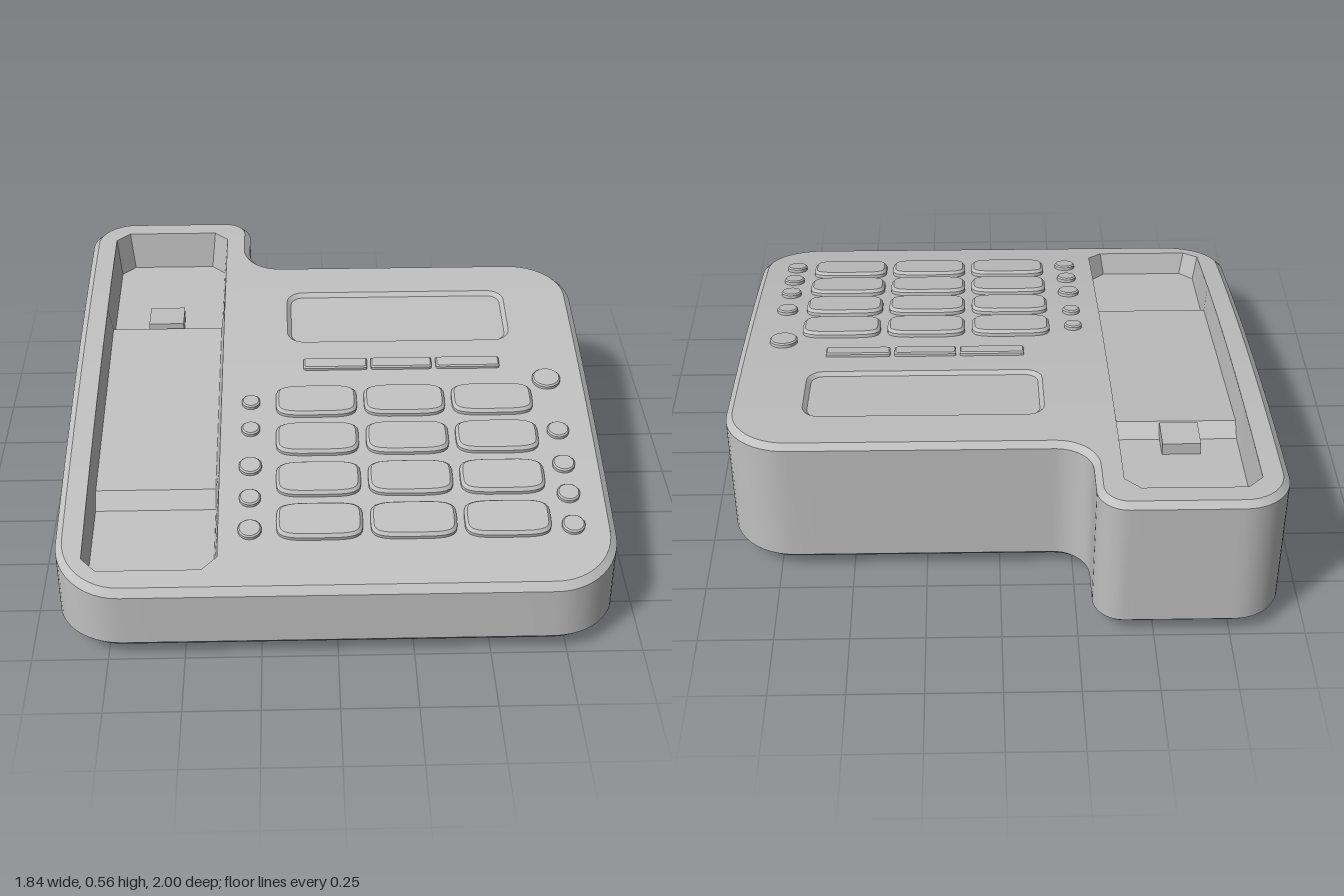
import * as THREE from 'three';
import { toCreasedNormals } from 'three/addons/utils/BufferGeometryUtils.js';

const grey = new THREE.MeshStandardMaterial({ color: 0xc0c0c0 });
grey.name = 'grey plastic';

// Height of the curved top, and its tilt, at depth z
const topY = z => 0.465 - 0.141 * z - 0.049 * z * z;
const tiltAt = z => Math.atan(0.141 + 0.098 * z);

// Piecewise height of the handset cradle floor: pocket, plateau, pocket
const FLOOR = [[-1, 0.415], [-0.44, 0.38], [-0.39, 0.42], [0.48, 0.3], [0.53, 0.25], [1, 0.2]];
function floorY(z) {
  let i = 0;
  while (i < FLOOR.length - 2 && z > FLOOR[i + 1][0]) i++;
  const [a, b] = [FLOOR[i], FLOOR[i + 1]];
  return a[1] + (b[1] - a[1]) * (z - a[0]) / (b[0] - a[0]);
}

// Closed outline of [x, z] points from corner arcs: [cx, cz, radius, from, to] in quarter turns;
// inset d shrinks convex corners and grows concave ones
function arcs(corners, d, steps = 12, straight = 10) {
  const groups = corners.map(([cx, cz, r, from, to]) => {
    const rad = to > from ? r - d : r + d;
    return Array.from({ length: steps + 1 }, (_, i) => {
      const t = (from + (to - from) * i / steps) * Math.PI / 2;
      return [cx + rad * Math.cos(t), cz + rad * Math.sin(t)];
    });
  });
  const pts = [];
  groups.forEach((g, i) => {
    pts.push(...g);
    const a = g[steps], b = groups[(i + 1) % groups.length][0];
    for (let k = 1; k < straight; k++)
      pts.push([a[0] + (b[0] - a[0]) * k / straight, a[1] + (b[1] - a[1]) * k / straight]);
  });
  return pts;
}

const bodyOutline = d => arcs([
  [0.70, 0.78, 0.22, 0, 1], [-0.70, 0.78, 0.22, 1, 2], [-0.76, -0.84, 0.16, 2, 3],
  [-0.40, -0.90, 0.10, 3, 4], [-0.18, -0.78, 0.12, 2, 1], [0.70, -0.44, 0.22, 3, 4]], d);

const screenOutline = d => arcs([
  [0.605, -0.23, 0.06, 0, 1], [-0.095, -0.23, 0.06, 1, 2],
  [-0.095, -0.415, 0.06, 2, 3], [0.605, -0.415, 0.06, 3, 4]], d, 6, 4);

// Cradle opening with cut corners
function cradleOutline(d) {
  const c = 0.05, x0 = -0.83 + d, x1 = -0.39 - d, z0 = -0.91 + d, z1 = 0.91 - d * 1.5;
  const zs = [z0 + c, -0.65, -0.44, -0.39, -0.2, 0, 0.2, 0.35, 0.48, 0.53, 0.7, z1 - c];
  return [[x1 - c, z0], ...zs.map(z => [x1, z]), [x1 - c, z1],
    [x0 + c, z1], ...zs.reverse().map(z => [x0, z]), [x0 + c, z0]];
}

function geometryFrom(pos) {
  const g = new THREE.BufferGeometry();
  g.setAttribute('position', new THREE.Float32BufferAttribute(pos, 3));
  return toCreasedNormals(g, 0.5);
}

// Skin between successive rings; each ring is [outline, height function]
function loft(rings) {
  const pos = [];
  for (let r = 0; r < rings.length - 1; r++) {
    const [[p, py], [q, qy]] = [rings[r], rings[r + 1]];
    for (let i = 0; i < p.length; i++) {
      const j = (i + 1) % p.length;
      const at = (o, y, k) => [o[k][0], y(o[k][1]), o[k][1]];
      const a0 = at(p, py, i), b0 = at(p, py, j), a1 = at(q, qy, i), b1 = at(q, qy, j);
      pos.push(...a0, ...a1, ...b1, ...a0, ...b1, ...b0);
    }
  }
  return geometryFrom(pos);
}

// Sheet filling the outlines (the inner ones are holes), in strips along z
function sheet(outlines, y, down = false) {
  const zs = outlines.flat().map(p => p[1]).sort((a, b) => a - b)
    .filter((z, i, all) => i === 0 || z - all[i - 1] > 1e-6);
  const crossings = z => {
    const xs = [];
    for (const o of outlines) o.forEach((p, i) => {
      const q = o[(i + 1) % o.length];
      if ((p[1] < z) !== (q[1] < z)) xs.push(p[0] + (q[0] - p[0]) * (z - p[1]) / (q[1] - p[1]));
    });
    return xs.sort((a, b) => a - b);
  };
  const pos = [];
  for (let i = 0; i < zs.length - 1; i++) {
    const a = zs[i], b = zs[i + 1], e = (b - a) * 1e-3;
    const s = crossings(a + e), t = crossings(b - e);
    for (let k = 0; k + 1 < Math.min(s.length, t.length); k += 2) {
      const A = [s[k], y(a), a], B = [t[k], y(b), b], C = [t[k + 1], y(b), b], D = [s[k + 1], y(a), a];
      pos.push(...(down ? [...A, ...C, ...B, ...A, ...D, ...C] : [...A, ...B, ...C, ...A, ...C, ...D]));
    }
  }
  return geometryFrom(pos);
}

// Closed shape from a superellipse; power 2 is a circle, higher is squarer
function padShape(w, d, power, n = 40) {
  return new THREE.Shape(Array.from({ length: n }, (_, i) => {
    const t = i / n * Math.PI * 2, f = v => Math.sign(v) * Math.abs(v) ** (2 / power);
    return new THREE.Vector2(w / 2 * f(Math.cos(t)), d / 2 * f(Math.sin(t)));
  }));
}

export function createModel() {
  const model = new THREE.Group();
  model.name = 'deskPhoneBase';
  const add = (name, geometry, parent = model) => {
    const m = new THREE.Mesh(geometry, grey);
    m.name = name;
    parent.add(m);
    return m;
  };

  // Casing with chamfered bottom and top edges
  const base = () => 0.04;
  add('casingWall', loft([[bodyOutline(0.03), base], [bodyOutline(0), () => 0.07],
    [bodyOutline(0), z => topY(z) - 0.02], [bodyOutline(0.022), topY]]));
  add('casingTop', sheet([bodyOutline(0.022), cradleOutline(0), screenOutline(0)], topY));
  add('casingBottom', sheet([bodyOutline(0.03)], base, true));

  // Handset cradle
  add('cradleWall', loft([[cradleOutline(0), topY], [cradleOutline(0.015), floorY]]));
  add('cradleFloor', sheet([cradleOutline(0.015)], floorY));
  add('hookTab', new THREE.BoxGeometry(0.13, 0.07, 0.12)).position.set(-0.615, 0.395, -0.47);

  // Recessed screen
  const screenY = z => topY(z) - 0.013;
  add('screenFrame', loft([[screenOutline(0), topY], [screenOutline(0.015), screenY]]));
  add('screen', sheet([screenOutline(0.015)], screenY));

  // Buttons follow the slope of the top
  const buttons = new THREE.Group();
  buttons.name = 'buttons';
  model.add(buttons);
  const button = (name, shape, x, z, rise, bevel) => {
    const g = new THREE.ExtrudeGeometry(shape, {
      depth: 0.03 + rise - 2 * bevel, bevelEnabled: true, bevelSegments: 1,
      bevelSize: bevel, bevelThickness: bevel, bevelOffset: -bevel });
    g.rotateX(-Math.PI / 2).translate(0, bevel - 0.03, 0);
    const m = add(name, toCreasedNormals(g, 0.5), buttons);
    m.position.set(x, topY(z), z);
    m.rotation.x = tiltAt(z);
  };
  const key = padShape(0.285, 0.152, 4.2);
  for (const z of [0.165, 0.352, 0.54, 0.725])
    for (const x of [-0.055, 0.255, 0.565]) button('numberKey', key, x, z, 0.022, 0.01);
  for (const [x, w] of [[0.017, 0.23], [0.255, 0.22], [0.495, 0.23]])
    button('menuKey', padShape(w, 0.056, 12), x, -0.035, 0.014, 0.005);
  const round = [[-0.285, 0.165, 0.032], [-0.285, 0.3, 0.032], [-0.285, 0.477, 0.039],
    [-0.285, 0.62, 0.036], [-0.285, 0.755, 0.039], [0.77, 0.062, 0.05], [0.78, 0.327, 0.038],
    [0.78, 0.487, 0.038], [0.78, 0.62, 0.038], [0.78, 0.755, 0.038]];
  for (const [x, z, r] of round) button('roundButton', padShape(2 * r, 2 * r, 2, 28), x, z, 0.016, 0.005);

  // Feet
  for (const [x, z] of [[-0.71, 0.84], [0.71, 0.84], [0.71, -0.47], [-0.71, -0.83]])
    add('foot', new THREE.BoxGeometry(0.12, 0.05, 0.08)).position.set(x, 0.025, z);

  return model;
}
